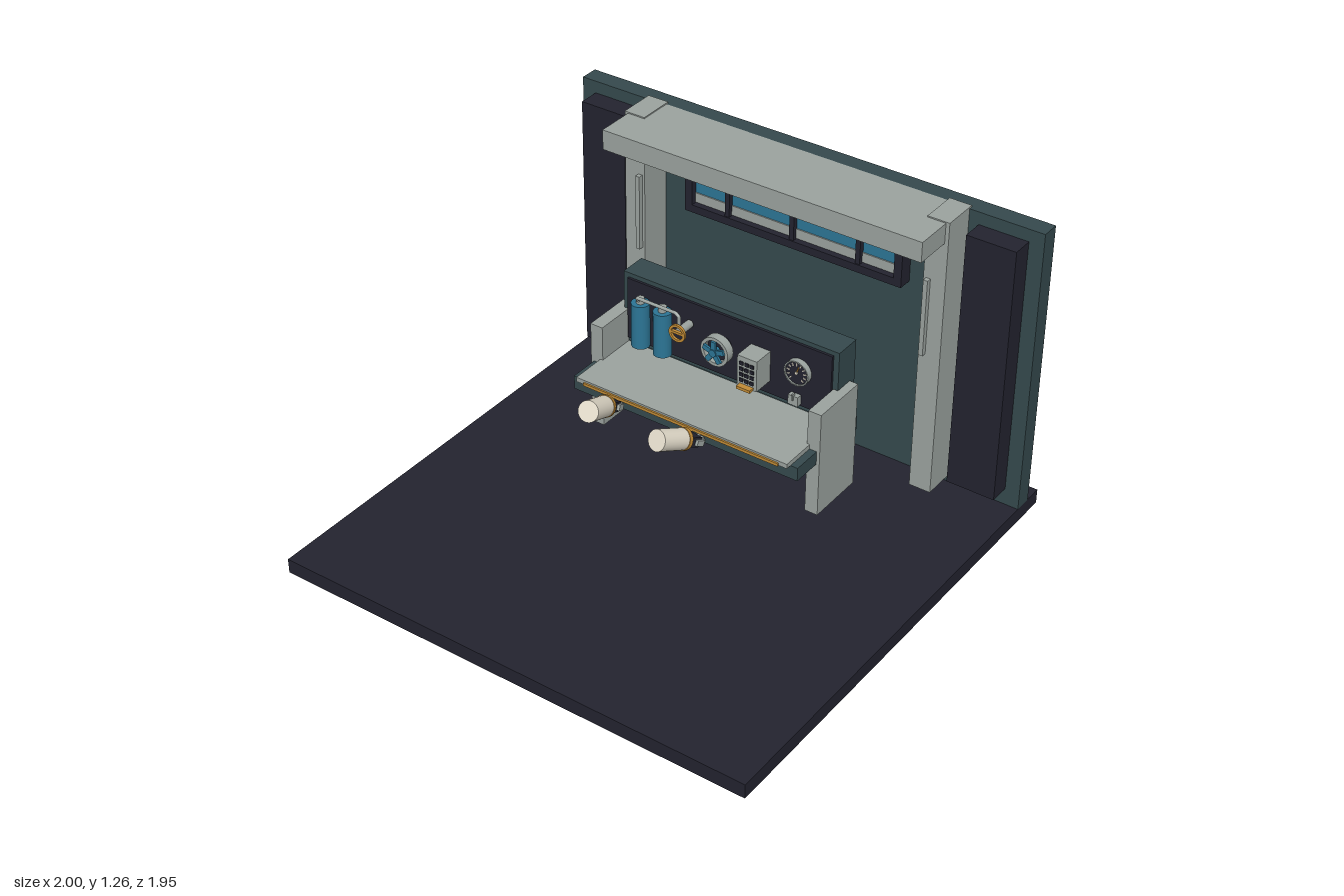
import * as THREE from 'three';

const mat = (name, color, side = THREE.FrontSide) => {
  const m = new THREE.MeshStandardMaterial({ color, side });
  m.name = name;
  return m;
};

export function createModel() {
  const dark = mat('charcoal', 0x23232f);
  const teal = mat('dark teal', 0x35494d);
  const grey = mat('light grey', 0x9ba39f);
  const blue = mat('blue', 0x2c7595);
  const gold = mat('gold', 0xc08a35);
  const cream = mat('cream', 0xe3dccb);
  const root = new THREE.Group();

  const mesh = (name, geo, material, parent = root) => {
    const m = new THREE.Mesh(geo, material);
    m.name = name;
    parent.add(m);
    return m;
  };
  // box given by its minimum and maximum on each axis
  const box = (name, m, x0, x1, y0, y1, z0, z1, parent) => {
    const b = mesh(name, new THREE.BoxGeometry(x1 - x0, y1 - y0, z1 - z0), m, parent);
    b.position.set((x0 + x1) / 2, (y0 + y1) / 2, (z0 + z1) / 2);
    return b;
  };
  // cylinder along y or z, centred at x, y, z
  const cyl = (name, m, r, h, x, y, z, alongZ, parent) => {
    const geo = new THREE.CylinderGeometry(r, r, h, 24);
    if (alongZ) geo.rotateX(Math.PI / 2);
    const c = mesh(name, geo, m, parent);
    c.position.set(x, y, z);
    return c;
  };
  // flat ring with a hole, extruded along z
  const ring = (name, m, rOut, rIn, depth, x, y, z) => {
    const s = new THREE.Shape().absarc(0, 0, rOut, 0, Math.PI * 2);
    s.holes.push(new THREE.Path().absarc(0, 0, rIn, 0, Math.PI * 2, true));
    const r = mesh(name, new THREE.ExtrudeGeometry(s, { depth, bevelEnabled: false, curveSegments: 20 }), m);
    r.position.set(x, y, z);
    return r;
  };

  // room shell
  box('floor', dark, -1, 1, 0, 0.06, -0.975, 0.975);
  box('backWall', teal, -1, 1, 0.06, 1.25, -0.9, -0.825);
  box('beam', grey, -0.685, 0.685, 1.17, 1.252, -0.83, -0.53);
  for (const s of [-1, 1]) {
    const c = (name, m, x, w, ...r) => box(name, m, s * x - w / 2, s * x + w / 2, ...r);
    c('sidePanel', dark, 0.84, 0.2, 0.13, 1.2, -0.826, -0.738);
    c('pillar', grey, 0.655, 0.09, 0.09, 1.257, -0.84, -0.688);
    c('pillarRail', grey, 0.63, 0.018, 0.69, 1.008, -0.688, -0.668);
    c('deskSide', grey, 0.481, 0.054, 0.2, 0.64, -0.447, -0.205);
  }

  // window
  box('windowBack', dark, -0.478, 0.478, 0.87, 1.14, -0.83, -0.8);
  box('windowGlass', blue, -0.445, 0.445, 0.905, 1.108, -0.8, -0.792);
  box('windowSill', grey, -0.445, 0.445, 0.905, 0.945, -0.8, -0.787);
  box('windowFrameTop', dark, -0.478, 0.478, 1.108, 1.14, -0.8, -0.765);
  box('windowFrameBottom', dark, -0.478, 0.478, 0.87, 0.902, -0.8, -0.765);
  for (const s of [-1, 1]) box('windowFrameSide', dark, s * 0.4615 - 0.0165, s * 0.4615 + 0.0165, 0.902, 1.108, -0.8, -0.765);
  for (const x of [-0.288, 0, 0.288]) box('windowBar', dark, x - 0.01, x + 0.01, 0.902, 1.108, -0.8, -0.77);

  // desk and instrument console
  box('deskBase', teal, -0.495, 0.495, 0.422, 0.478, -0.475, -0.082);
  box('deskTop', grey, -0.465, 0.465, 0.478, 0.497, -0.37, -0.058);
  box('deskEdgeStrip', gold, -0.43, 0.43, 0.477, 0.489, -0.058, -0.051);
  box('console', teal, -0.473, 0.473, 0.5, 0.8, -0.478, -0.368);
  box('consolePanel', dark, -0.45, 0.45, 0.52, 0.782, -0.368, -0.358);

  // tanks with caps and a connecting pipe
  for (const x of [-0.355, -0.255]) {
    cyl('tank', blue, 0.036, 0.185, x, 0.642, -0.31);
    cyl('tankCap', grey, 0.016, 0.022, x, 0.745, -0.31);
  }
  const path = new THREE.CurvePath();
  const pts = [[-0.355, 0.745, -0.3], [-0.355, 0.766, -0.288], [-0.18, 0.766, -0.288], [-0.165, 0.755, -0.288], [-0.165, 0.7, -0.288]]
    .map(p => new THREE.Vector3(...p));
  for (let i = 1; i < pts.length; i++) path.add(new THREE.LineCurve3(pts[i - 1], pts[i]));
  mesh('pipe', new THREE.TubeGeometry(path, 60, 0.007, 8), grey);
  cyl('valveBody', grey, 0.016, 0.07, -0.16, 0.695, -0.315, true);
  ring('valveWheel', gold, 0.036, 0.026, 0.01, -0.16, 0.695, -0.276);
  box('valveSpoke', gold, -0.192, -0.128, 0.69, 0.7, -0.28, -0.268);

  // fan
  const fx = -0.01, fy = 0.66;
  ring('fanRing', grey, 0.06, 0.047, 0.036, fx, fy, -0.326);
  cyl('fanMount', dark, 0.03, 0.03, fx, fy, -0.343, true);
  cyl('fanBack', dark, 0.048, 0.008, fx, fy, -0.322, true);
  cyl('fanHub', blue, 0.015, 0.032, fx, fy, -0.293, true);
  for (let i = 0; i < 5; i++) {
    const a = Math.PI / 2 + i * Math.PI * 0.4;
    const b = mesh('fanBlade', new THREE.BoxGeometry(0.04, 0.02, 0.01), blue);
    b.position.set(fx + Math.cos(a) * 0.027, fy + Math.sin(a) * 0.027, -0.286);
    b.rotation.z = a;
  }

  // keypad with a tray
  box('keypad', grey, 0.105, 0.19, 0.575, 0.705, -0.358, -0.27);
  for (let r = 0; r < 4; r++) for (let c = 0; c < 3; c++) {
    const x = 0.125 + c * 0.0225, y = 0.605 + r * 0.024;
    box('key', dark, x - 0.008, x + 0.008, y - 0.007, y + 0.007, -0.271, -0.265);
  }
  box('keypadTray', gold, 0.118, 0.177, 0.576, 0.588, -0.27, -0.246);

  // dial gauge and switch
  const gx = 0.315, gy = 0.67;
  cyl('gaugeFace', dark, 0.047, 0.018, gx, gy, -0.349, true);
  ring('gaugeRim', grey, 0.052, 0.047, 0.024, gx, gy, -0.358);
  for (let i = 0; i < 11; i++) {
    const a = -Math.PI / 4 + i * Math.PI * 0.15;
    const t = mesh('gaugeTick', new THREE.BoxGeometry(0.012, 0.004, 0.004), cream);
    t.position.set(gx + Math.cos(a) * 0.036, gy + Math.sin(a) * 0.036, -0.339);
    t.rotation.z = a;
  }
  const needle = mesh('gaugeNeedle', new THREE.BoxGeometry(0.004, 0.03, 0.004), gold);
  needle.position.set(gx + 0.004, gy + 0.012, -0.338);
  needle.rotation.z = -0.3;
  cyl('gaugeHub', cream, 0.006, 0.006, gx, gy, -0.338, true);
  box('switchBase', grey, 0.284, 0.326, 0.528, 0.568, -0.358, -0.335);
  box('switchLever', grey, 0.302, 0.308, 0.55, 0.578, -0.345, -0.33);

  // pair of gloved forearms reaching for the desk; local +z runs to the fingers
  for (const s of [-1, 1]) {
    const arm = new THREE.Group();
    arm.name = s > 0 ? 'leftForearm' : 'rightForearm';
    arm.position.set(s * 0.148, 0.668, 0.283);
    arm.lookAt(s * 0.185, 0.573, 0.075);
    root.add(arm);
    cyl('sleeve', cream, 0.04, 0.13, 0, 0, 0.065, true, arm);
    cyl('cuff', gold, 0.042, 0.016, 0, 0, 0.138, true, arm);
    box('palm', dark, -0.034, 0.034, -0.019, 0.019, 0.146, 0.197, arm);
    for (let i = 0; i < 4; i++) {
      const x = -0.0255 + i * 0.017;
      const len = i % 3 ? 0.042 : 0.03;
      box('finger', grey, x - 0.0065, x + 0.0065, -0.009, 0.009, 0.195, 0.195 + len, arm);
    }
    for (const t of [-1, 1]) box('handGuard', grey, t * 0.039 - 0.006, t * 0.039 + 0.006, -0.011, 0.011, 0.17, 0.205, arm);
  }
  return root;
}
